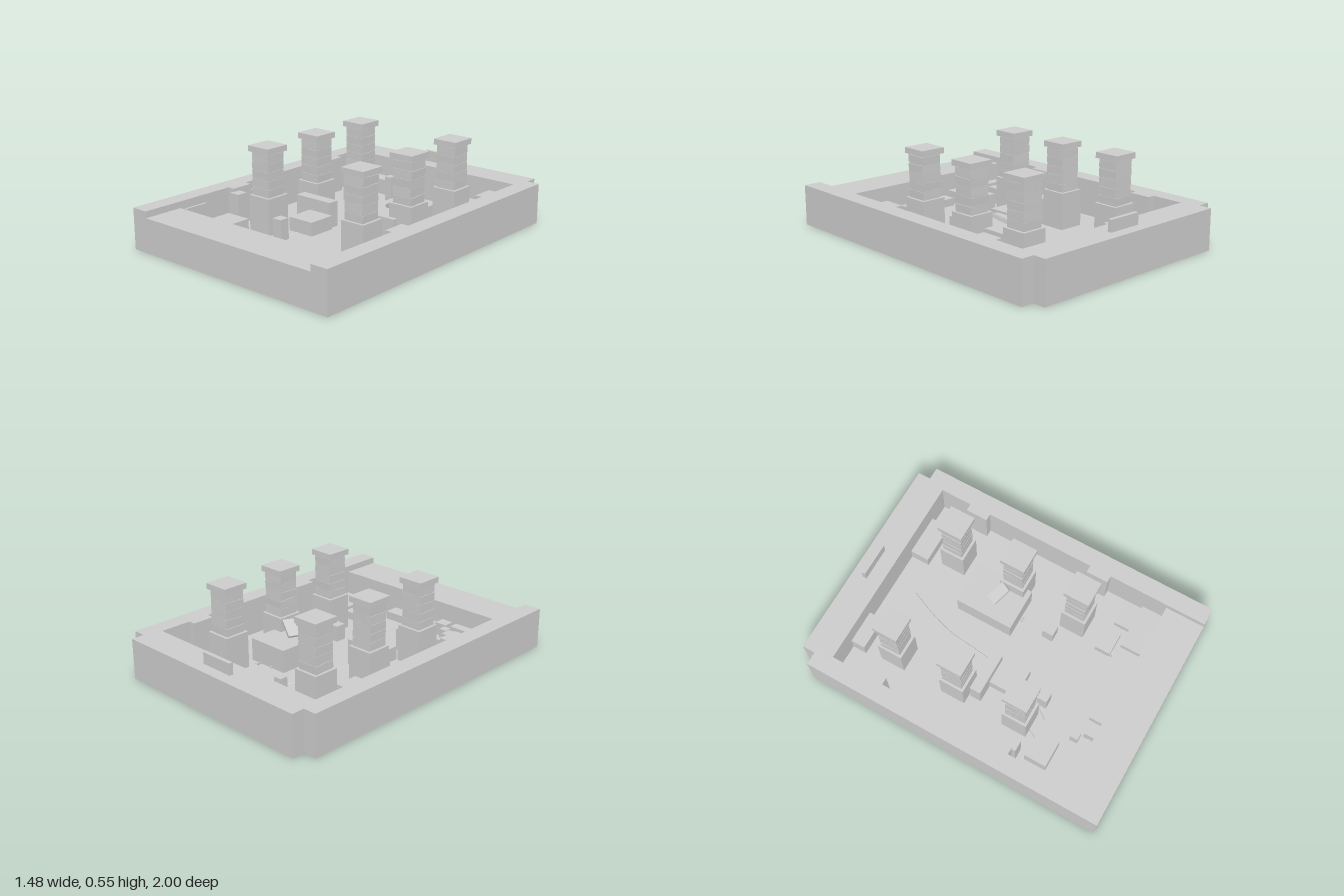
import * as THREE from 'three';

export function createModel() {
  const model = new THREE.Group();
  model.name = 'ruinedHall';
  const stone = new THREE.MeshStandardMaterial({ color: 0xcccccc, flatShading: true });
  const FLOOR = 0.02;

  // seeded random for weathering
  let seed = 7;
  const rand = () => (seed = (seed * 16807) % 2147483647) / 2147483647;
  const jitter = (a) => (rand() - 0.5) * 2 * a;

  const add = (name, geometry, parent = model) => {
    const mesh = new THREE.Mesh(geometry, stone);
    mesh.name = name;
    parent.add(mesh);
    return mesh;
  };
  // box given by its extents on each axis
  const block = (name, x0, x1, y0, y1, z0, z1, parent = model) => {
    const mesh = add(name, new THREE.BoxGeometry(x1 - x0, y1 - y0, z1 - z0), parent);
    mesh.position.set((x0 + x1) / 2, (y0 + y1) / 2, (z0 + z1) / 2);
    return mesh;
  };

  // floor and surrounding walls
  block('floor', -0.64, 0.64, 0, FLOOR, -0.82, 0.76);
  block('frontWall', -0.63, 0.63, 0, 0.21, 0.75, 1);
  block('backWall', -0.66, 0.66, 0, 0.25, -1, -0.81);
  for (const s of [-1, 1]) {
    const side = new THREE.Group();
    side.name = s < 0 ? 'rightWall' : 'leftWall';
    model.add(side);
    const span = (a, b) => [Math.min(s * a, s * b), Math.max(s * a, s * b)];
    block('wall', ...span(0.63, 0.74), 0, 0.25, -0.92, 1, side);
    for (const z of [-0.54, 0.3])
      block('wallPilaster', ...span(0.585, 0.635), FLOOR, 0.25, z - 0.07, z + 0.07, side);
  }
  block('wallPanel', -0.635, -0.615, FLOOR, 0.2, 0, 0.2);
  block('wallPanel', -0.635, -0.615, FLOOR, 0.2, 0.56, 0.72);
  block('backPlaque', -0.11, 0.105, 0.25, 0.32, -0.93, -0.905);

  // one column: pedestal, weathered shaft courses, cap
  const column = (x, z) => {
    const g = new THREE.Group();
    g.name = 'column';
    g.position.set(x, 0, z);
    model.add(g);
    block('pedestal', -0.08, 0.08, FLOOR, 0.245, -0.08, 0.08, g);
    block('shaft', -0.063, 0.063, 0.24, 0.51, -0.063, 0.063, g);
    for (let i = 0; i < 5; i++) {
      const y = 0.248 + i * 0.0525;
      const course = block('shaftCourse', -0.066, 0.066, y, y + 0.046, -0.0645, 0.0645, g);
      course.rotation.set(jitter(0.04), jitter(0.02), jitter(0.025));
      course.position.x += jitter(0.002);
    }
    block('cap', -0.08, 0.08, 0.51, 0.545, -0.08, 0.08, g);
  };
  for (const x of [-0.36, 0.36]) for (const z of [-0.54, -0.12, 0.3]) column(x, z);

  // central tomb with a fallen leaning slab
  block('tomb', 0.07, 0.34, FLOOR, 0.16, -0.38, -0.01);
  const slab = add('leaningSlab', new THREE.BoxGeometry(0.13, 0.02, 0.07));
  slab.position.set(0.22, 0.195, -0.175);
  slab.rotation.set(0, -0.42, 0.5, 'YXZ');

  // altar with an upright panel behind it
  block('altar', -0.27, -0.09, FLOOR, 0.105, 0.04, 0.22);
  block('altarScreen', -0.38, -0.11, FLOOR, 0.18, -0.03, 0.04);

  // low chests, ledges and steps: x0, x1, top, z0, z1
  const low = [
    [-0.56, -0.39, 0.12, 0.44, 0.58], [0.25, 0.4, 0.07, 0.48, 0.58],
    [0.45, 0.6, 0.06, 0.51, 0.61], [0.34, 0.63, 0.06, 0.61, 0.75],
    [-0.16, 0.2, 0.07, 0.66, 0.75], [-0.27, -0.19, 0.1, 0.68, 0.75],
    [-0.62, -0.3, 0.1, 0.69, 0.75], [-0.62, -0.39, 0.05, 0.585, 0.69],
    [-0.46, -0.25, 0.12, -0.81, -0.72], [0.23, 0.49, 0.1, -0.81, -0.69],
  ];
  for (const [x0, x1, top, z0, z1] of low) block('lowBlock', x0, x1, FLOOR, top, z0, z1);

  // small standing posts: x, z, width, top
  const posts = [
    [-0.2, -0.65, 0.05, 0.18], [0.2, 0.195, 0.07, 0.12], [-0.195, 0.37, 0.065, 0.15],
    [-0.555, 0.36, 0.07, 0.23], [-0.3, 0.64, 0.05, 0.1],
  ];
  for (const [x, z, w, top] of posts)
    block('post', x - w / 2, x + w / 2, FLOOR, top, z - w / 2, z + w / 2);

  // cracks running over the floor
  const crack = (points) => {
    const path = new THREE.CatmullRomCurve3(points.map(([x, z]) => new THREE.Vector3(x, FLOOR, z)));
    add('floorCrack', new THREE.TubeGeometry(path, 24, 0.004, 4));
  };
  crack([[0.025, -0.66], [-0.05, -0.47], [-0.09, -0.33], [-0.11, -0.15], [-0.125, -0.03]]);
  crack([[-0.2, 0.2], [-0.215, 0.3], [-0.25, 0.37], [-0.295, 0.43]]);
  crack([[-0.39, 0.37], [-0.41, 0.42], [-0.44, 0.45]]);

  // scattered chips around the tomb and chests: x, z, spread, count
  const heaps = [[0.26, -0.39, 0.03, 5], [0.16, -0.39, 0.02, 2], [0.35, -0.27, 0.01, 2],
    [0.2, 0, 0.02, 3], [0.27, 0.59, 0.02, 2], [0.4, 0.52, 0.02, 2], [-0.29, 0.71, 0.02, 4]];
  for (const [x, z, spread, count] of heaps)
    for (let i = 0; i < count; i++) {
      const chip = add('rubble', new THREE.TetrahedronGeometry(0.009 + rand() * 0.004));
      chip.position.set(x + jitter(spread), FLOOR + 0.005, z + jitter(spread / 2));
      chip.rotation.set(rand() * 3, rand() * 3, 0);
    }

  return model;
}
